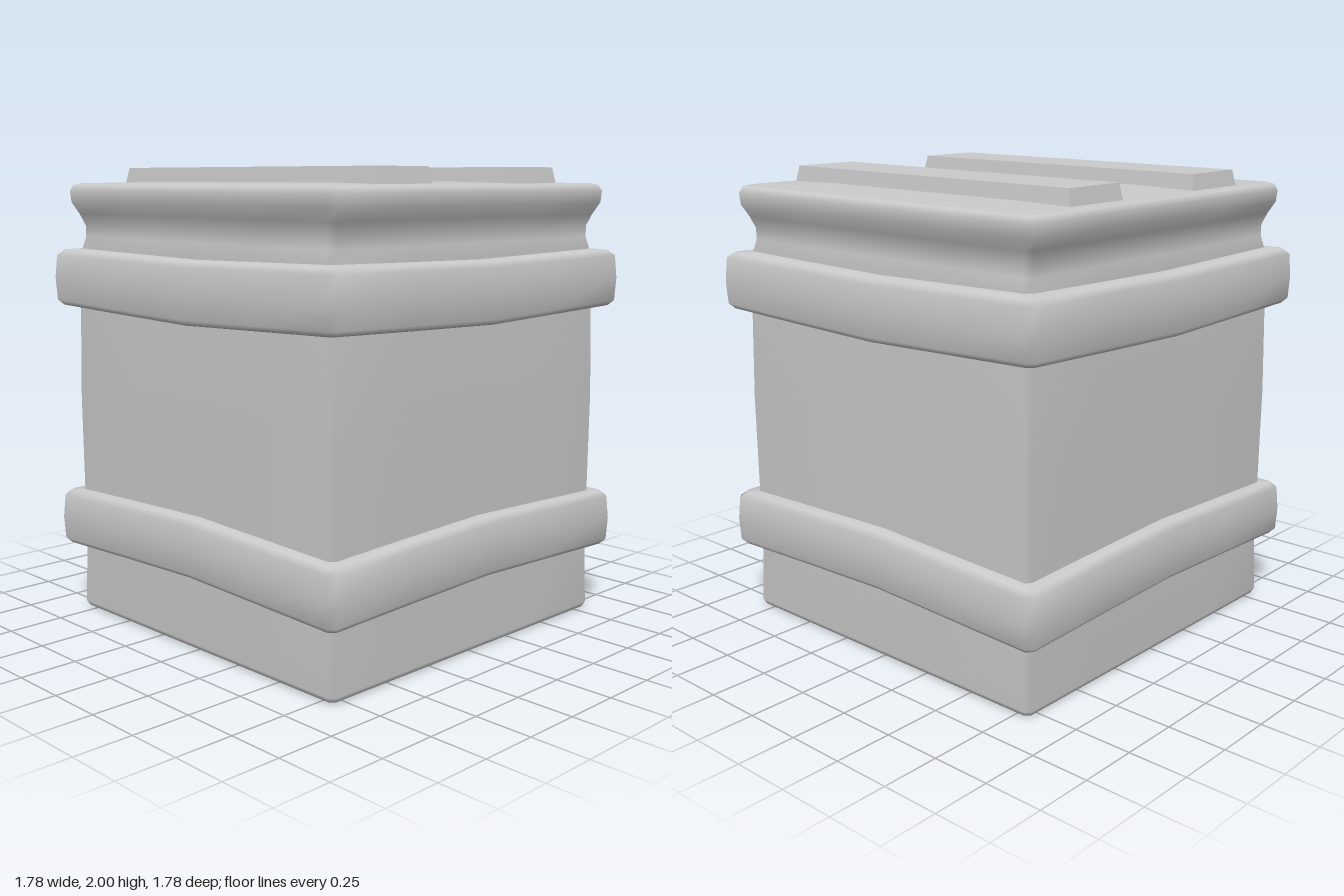
import * as THREE from 'three';

const material = new THREE.MeshStandardMaterial({ color: 0xcccccc });

// Square ring with bevelled corners; the middle of each side is lifted by "bow"
function ring([half, y, bow = 0], bevel) {
  const b = Math.min(bevel, half);
  const points = [];
  for (let side = 0; side < 4; side++) {
    for (const t of [-1, -0.5, 0.04, 0.5, 1]) {
      const along = t * (half - b);
      const p = new THREE.Vector3(along, y + bow * (1 - Math.abs(t)), half);
      points.push(p.applyAxisAngle(new THREE.Vector3(0, 1, 0), side * Math.PI / 2));
    }
  }
  return points;
}

// Skin a stack of square rings, listed from bottom to top
function loft(name, rows, bevel) {
  const positions = [], index = [], n = 20;
  for (const row of rows) for (const p of ring(row, bevel)) positions.push(p.x, p.y, p.z);
  for (let r = 0; r < rows.length - 1; r++) {
    for (let i = 0; i < n; i++) {
      const a = r * n + i, b = r * n + (i + 1) % n;
      index.push(a, b, b + n, a, b + n, a + n);
    }
  }
  const geometry = new THREE.BufferGeometry();
  geometry.setAttribute('position', new THREE.Float32BufferAttribute(positions, 3));
  geometry.setIndex(index);
  geometry.computeVertexNormals();
  const mesh = new THREE.Mesh(geometry, material);
  mesh.name = name;
  return mesh;
}

// Strap around the body, with bowed upper and lower edges
function band(name, bottom, top, bowBottom, bowTop) {
  return loft(name, [
    [0.79, bottom, bowBottom],
    [0.865, bottom + 0.003, bowBottom],
    [0.885, bottom + 0.025, bowBottom],
    [0.89, (bottom + top) / 2, (bowBottom + bowTop) / 2],
    [0.883, top - 0.025, bowTop],
    [0.86, top - 0.002, bowTop],
    [0.79, top + 0.005, bowTop],
  ], 0.025);
}

// Raised slat on the lid, tapered towards its top
function slat(name, x) {
  const geometry = new THREE.BoxGeometry(0.33, 0.1, 1.57);
  const p = geometry.attributes.position;
  for (let i = 0; i < p.count; i++) {
    if (p.getY(i) > 0) p.setXYZ(i, p.getX(i) * 0.9, p.getY(i), p.getZ(i) * 0.975);
  }
  geometry.computeVertexNormals();
  const mesh = new THREE.Mesh(geometry, material);
  mesh.name = name;
  mesh.position.set(x, 1.95, 0);
  return mesh;
}

export function createModel() {
  const group = new THREE.Group();
  group.name = 'crate';

  // Box body with closed bottom
  group.add(loft('body', [
    [0, 0], [0.79, 0], [0.812, 0.008], [0.823, 0.03],
    [0.815, 0.3], [0.818, 1], [0.81, 1.45], [0.8, 1.55],
  ], 0.02));

  // Lid with a hollowed neck and a rounded rim
  group.add(loft('lid', [
    [0.8, 1.5], [0.802, 1.65], [0.79, 1.7], [0.79, 1.75], [0.808, 1.8],
    [0.832, 1.85], [0.836, 1.9], [0.825, 1.925], [0.8, 1.933],
    [0.5, 1.94], [0, 1.94],
  ], 0.025));

  // Two straps and two slats
  group.add(band('lowerBand', 0.305, 0.555, 0.028, 0.028));
  group.add(band('upperBand', 1.397, 1.645, -0.025, -0.015));
  group.add(slat('leftSlat', 0.39), slat('rightSlat', -0.4));

  return group;
}
